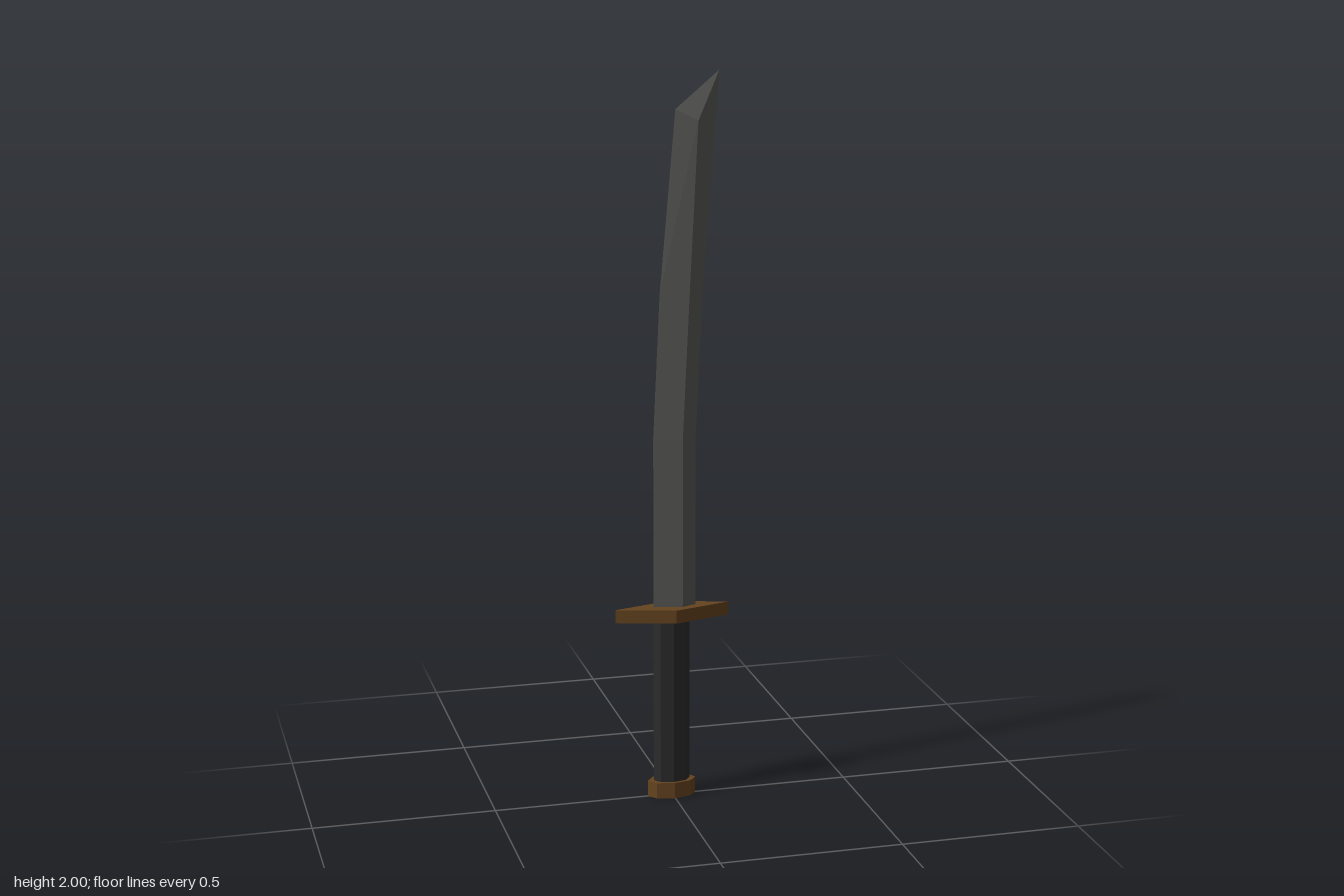
import * as THREE from 'three';

const material = (color) => new THREE.MeshStandardMaterial({ color, flatShading: true, side: THREE.DoubleSide });
const steel = material(0x585856);
const wrap = material(0x2b2b2b);
const bronze = material(0x65441f);

// Upright prism with a flattened n-sided section, from y0 to y1
function prism(name, sides, halfX, halfZ, y0, y1, mat, x = 0) {
  const geometry = new THREE.CylinderGeometry(1, 1, y1 - y0, sides);
  geometry.scale(halfX, 1, halfZ);
  geometry.translate(x, (y0 + y1) / 2, 0);
  const mesh = new THREE.Mesh(geometry, mat);
  mesh.name = name;
  return mesh;
}

// Curved blade: diamond sections of back, ridge and cutting edge, as [x, y] points
function blade() {
  const thick = 0.017;
  const stations = [
    { back: [-0.053, 0.53], ridge: [0.025, 0.53], edge: [0.065, 0.53] },
    { back: [-0.053, 1.02], ridge: [0.025, 1.02], edge: [0.065, 1.02] },
    { back: [-0.035, 1.41], ridge: [0.043, 1.41], edge: [0.083, 1.41] },
    { back: [0.008, 1.9], ridge: [0.066, 1.87], edge: [0.127, 2] }, // slanted point
  ];
  const positions = [];
  const index = [];
  stations.forEach(({ back, ridge, edge }, s) => {
    positions.push(...back, 0, ...ridge, thick, ...edge, 0, ...ridge, -thick);
    if (s === 0) return;
    for (let i = 0; i < 4; i++) {
      const a = (s - 1) * 4 + i;
      const b = (s - 1) * 4 + ((i + 1) % 4);
      index.push(a, b, b + 4, a, b + 4, a + 4);
    }
  });
  // End caps
  const t = (stations.length - 1) * 4;
  index.push(t, t + 1, t + 2, t, t + 2, t + 3, 0, 2, 1, 0, 3, 2);

  const geometry = new THREE.BufferGeometry();
  geometry.setAttribute('position', new THREE.Float32BufferAttribute(positions, 3));
  geometry.setIndex(index);
  const flat = geometry.toNonIndexed();
  flat.computeVertexNormals();
  const mesh = new THREE.Mesh(flat, steel);
  mesh.name = 'blade';
  return mesh;
}

export function createModel() {
  const sword = new THREE.Group();
  sword.name = 'sword';
  sword.add(
    prism('pommel', 8, 0.068, 0.036, 0, 0.045, bronze, -0.002),
    prism('grip', 8, 0.051, 0.028, 0.04, 0.515, wrap, -0.002),
    prism('guard', 4, 0.16, 0.046, 0.51, 0.547, bronze),
    blade(),
  );
  return sword;
}
